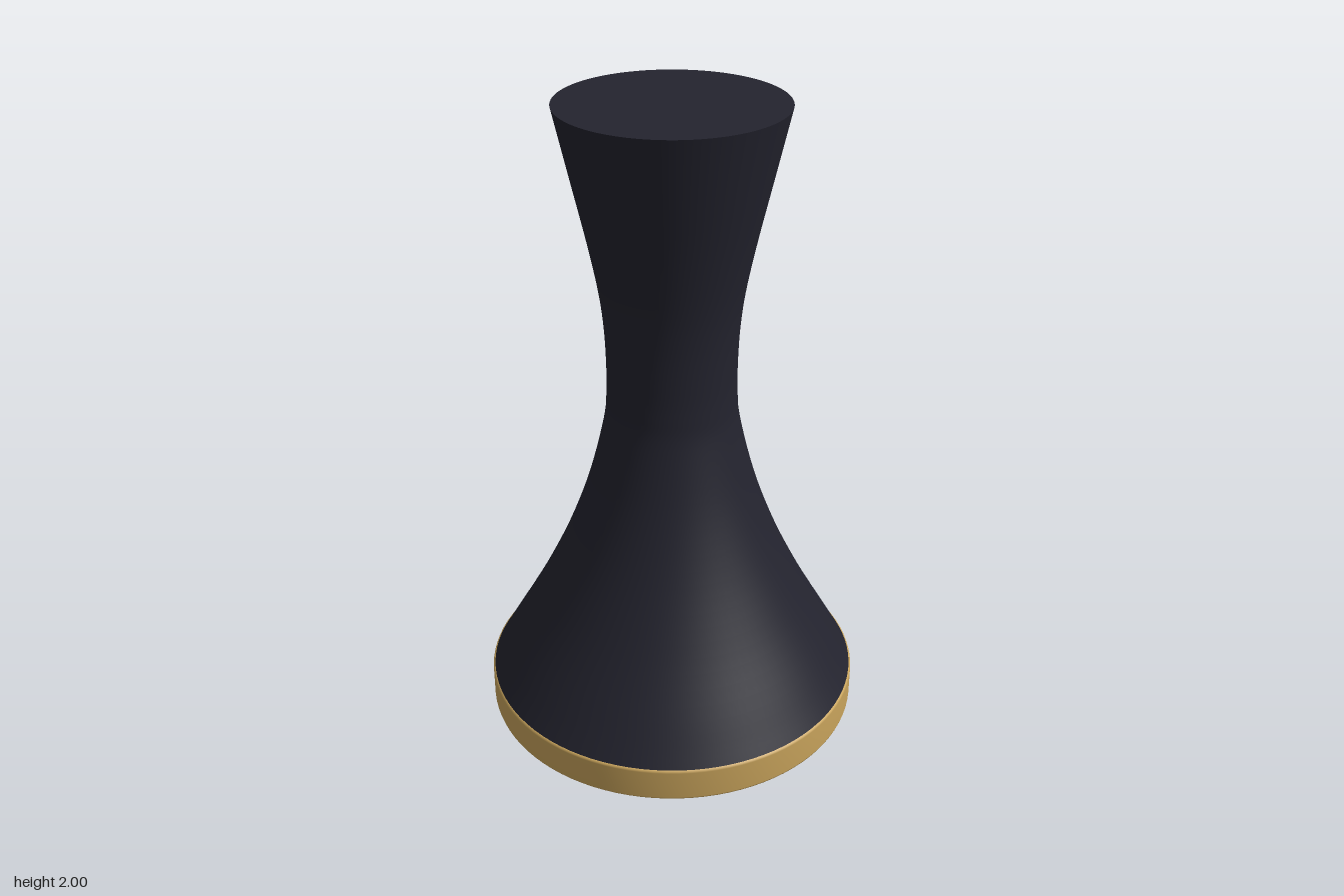
import * as THREE from 'three';

const SEGMENTS = 96;

export function createModel() {
  const model = new THREE.Group();
  model.name = 'flaredPedestal';

  const charcoal = new THREE.MeshStandardMaterial({ name: 'charcoal', color: 0x23232e });
  const gold = new THREE.MeshStandardMaterial({ name: 'gold', color: 0xc9a45c });

  const add = (name, geometry, material, y = 0) => {
    const mesh = new THREE.Mesh(geometry, material);
    mesh.name = name;
    mesh.position.y = y;
    model.add(mesh);
    return mesh;
  };
  const points = (list) => list.map(([r, y]) => new THREE.Vector2(r, y));

  // Waisted body: wide skirt, narrow neck, flared top
  const profile = new THREE.SplineCurve(points([
    [0.594, 0.11], [0.542, 0.2], [0.43, 0.4], [0.335, 0.6], [0.262, 0.8],
    [0.212, 1.0], [0.201, 1.1], [0.2, 1.2], [0.205, 1.32], [0.219, 1.44],
    [0.25, 1.6], [0.295, 1.8], [0.34, 2.0],
  ]));
  add('body', new THREE.LatheGeometry(profile.getPoints(60), SEGMENTS), charcoal);

  // Flat top
  add('topFace', new THREE.CircleGeometry(0.34, SEGMENTS).rotateX(-Math.PI / 2), charcoal, 2);

  // Base band with slightly softened edges
  add('baseBand', new THREE.LatheGeometry(points([
    [0.594, 0], [0.598, 0.002], [0.6, 0.008], [0.6, 0.102], [0.598, 0.108], [0.594, 0.11],
  ]), SEGMENTS), gold);

  // Underside
  add('underside', new THREE.CircleGeometry(0.594, SEGMENTS).rotateX(Math.PI / 2), gold);

  return model;
}
